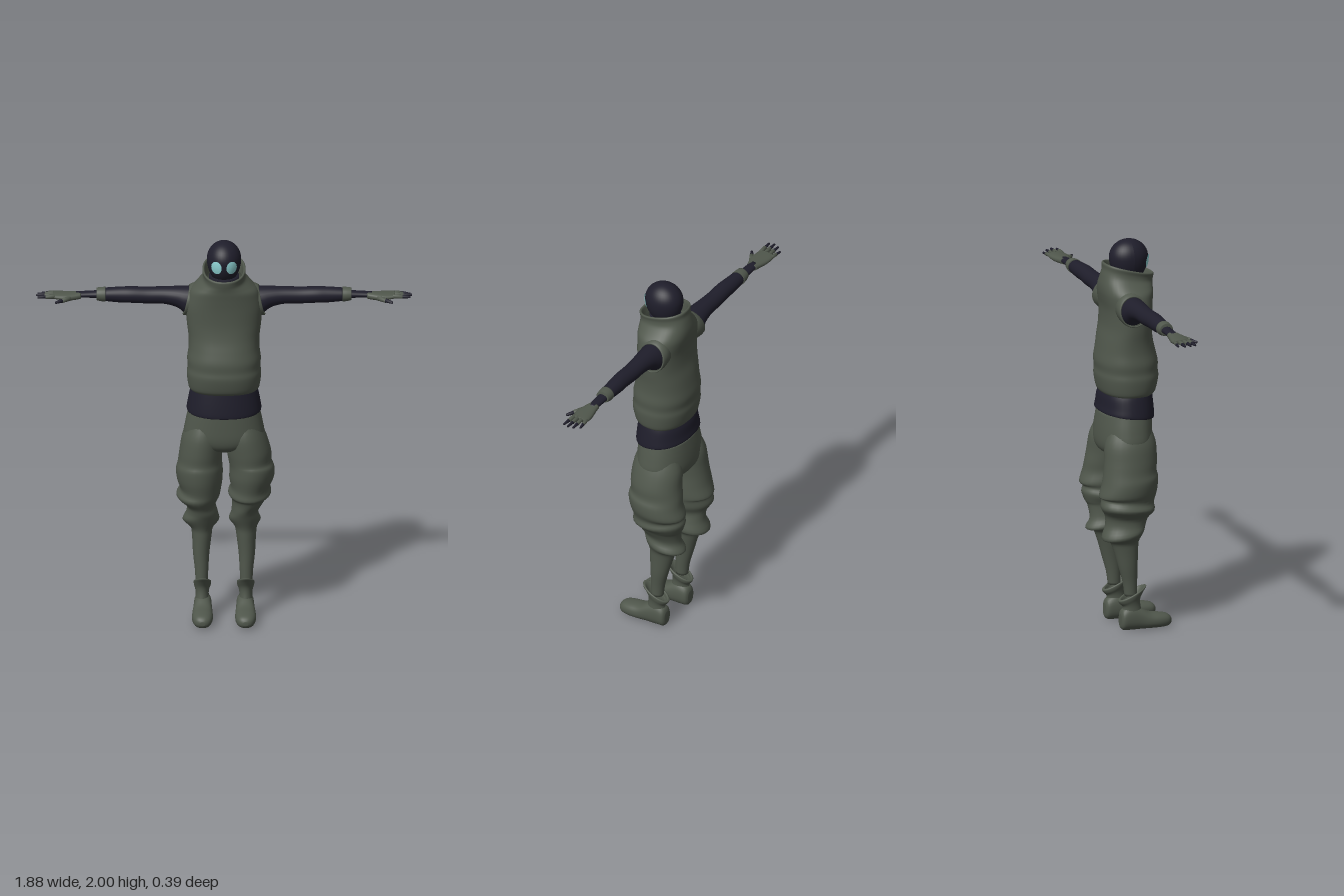
import * as THREE from 'three';

const mat = (name, color, side = THREE.FrontSide) => {
  const m = new THREE.MeshStandardMaterial({ color, side });
  m.name = name;
  return m;
};

// Smooth loft along an axis. Row: [position, cosMin, cosMax, sinMin, sinMax, tilt]
// cos/sin directions: y -> x/z, x -> z/y, z -> y/x. Rows must ascend.
function loft(axis, rows, { n = 28, sub = 4, pow = 1, open = false } = {}) {
  const spline = (a, b, c, d, t) =>
    0.5 * (2 * b + (c - a) * t + (2 * a - 5 * b + 4 * c - d) * t * t + (3 * b - a - 3 * c + d) * t ** 3);
  const rings = [];
  const row = (i) => rows[Math.min(Math.max(i, 0), rows.length - 1)];
  for (let i = 0; i < rows.length - 1; i++)
    for (let s = 0; s < sub; s++)
      rings.push([0, 1, 2, 3, 4, 5].map((k) =>
        spline(row(i - 1)[k] || 0, row(i)[k] || 0, row(i + 1)[k] || 0, row(i + 2)[k] || 0, s / sub)));
  rings.push(row(rows.length - 1));
  if (!open) {
    const tip = ([p, a, b, c, d]) => [p, (a + b) / 2, (a + b) / 2, (c + d) / 2, (c + d) / 2, 0];
    rings.unshift(tip(rings[0]));
    rings.push(tip(rings[rings.length - 1]));
  }
  const pos = [], idx = [];
  const soft = (v) => Math.sign(v) * Math.abs(v) ** pow;
  rings.forEach(([p, a, b, c, d, tilt = 0], j) => {
    for (let i = 0; i < n; i++) {
      const t = (i / n) * Math.PI * 2, cs = soft(Math.cos(t)), sn = soft(Math.sin(t));
      const u = (a + b) / 2 + ((b - a) / 2) * cs, v = (c + d) / 2 + ((d - c) / 2) * sn, w = p + tilt * sn;
      pos.push(...(axis === 'y' ? [u, w, v] : axis === 'x' ? [w, v, u] : [v, u, w]));
      if (j < rings.length - 1) {
        const k = j * n + i, l = j * n + ((i + 1) % n);
        idx.push(k, k + n, l, l, k + n, l + n);
      }
    }
  });
  const g = new THREE.BufferGeometry();
  g.setAttribute('position', new THREE.Float32BufferAttribute(pos, 3));
  g.setIndex(idx);
  g.computeVertexNormals();
  return g;
}

// Reflects a geometry across x = 0 and keeps its faces outward
function mirror(geo) {
  const g = geo.clone().scale(-1, 1, 1), a = g.index.array;
  for (let i = 0; i < a.length; i += 3) [a[i], a[i + 1]] = [a[i + 1], a[i]];
  g.computeVertexNormals();
  return g;
}

export function createModel() {
  const model = new THREE.Group();
  const cloth = mat('greyGreenCloth', 0x50574c);
  const clothOpen = mat('greyGreenClothOpen', 0x50574c, THREE.DoubleSide);
  const dark = mat('darkNavyCloth', 0x1f1e2b);
  const lens = mat('paleTealLens', 0x90d4d6, THREE.DoubleSide);
  const add = (name, geo, m) => {
    const mesh = new THREE.Mesh(geo, m);
    mesh.name = name;
    model.add(mesh);
  };
  const addPair = (name, geo, m) => {
    add('left' + name, geo, m);
    add('right' + name, mirror(geo), m);
  };

  // Hooded head, round above and longer towards the chin, and neck
  const head = new THREE.SphereGeometry(1, 36, 24);
  const hp = head.attributes.position;
  for (let i = 0; i < hp.count; i++) hp.setY(i, hp.getY(i) * (hp.getY(i) > 0 ? 0.092 : 0.125));
  head.scale(0.086, 1, 0.1).translate(0, 1.908, 0.015).computeVertexNormals();
  add('head', head, dark);
  add('neck', loft('y', [[1.72, -0.08, 0.08, -0.09, 0.08], [1.82, -0.075, 0.075, -0.075, 0.09]]), dark);

  // Oval eye lenses laid on the curve of the head
  const eye = new THREE.RingGeometry(0.001, 1, 28, 4);
  const ep = eye.attributes.position;
  for (let i = 0; i < ep.count; i++) {
    const x = 0.038 + ep.getX(i) * 0.026, y = 1.889 + ep.getY(i) * 0.034;
    const d = 1 - (x / 0.086) ** 2 - ((y - 1.908) / (y > 1.908 ? 0.092 : 0.125)) ** 2;
    ep.setXYZ(i, x, y, 0.019 + 0.1 * Math.sqrt(Math.max(d, 0)));
  }
  eye.computeVertexNormals();
  addPair('Eye', eye, lens);

  // Padded vest with a high collar that rises at the back
  add('vest', loft('y', [
    [1.215, -0.165, 0.165, -0.125, 0.12],
    [1.235, -0.178, 0.178, -0.14, 0.138],
    [1.3, -0.186, 0.186, -0.152, 0.153],
    [1.34, -0.182, 0.182, -0.15, 0.15],
    [1.385, -0.184, 0.184, -0.154, 0.15],
    [1.44, -0.177, 0.177, -0.146, 0.137],
    [1.5, -0.178, 0.178, -0.136, 0.122],
    [1.57, -0.186, 0.186, -0.122, 0.114],
    [1.65, -0.19, 0.19, -0.12, 0.116],
    [1.71, -0.18, 0.18, -0.13, 0.122],
    [1.745, -0.167, 0.167, -0.135, 0.127],
    [1.775, -0.138, 0.138, -0.135, 0.13, -0.008],
    [1.805, -0.11, 0.11, -0.128, 0.134, -0.02],
    [1.83, -0.104, 0.104, -0.12, 0.138, -0.028],
    [1.852, -0.108, 0.108, -0.12, 0.14, -0.032],
    [1.852, -0.097, 0.097, -0.109, 0.129, -0.032],
    [1.8, -0.092, 0.092, -0.1, 0.12, -0.02],
  ], { n: 40, pow: 0.88, open: true }), clothOpen);

  // Armholes, slanted out towards the bottom
  addPair('Armhole', loft('x', [
    [0.1, -0.1, 0.045, 1.6, 1.762],
    [0.15, -0.108, 0.048, 1.594, 1.765, -0.01],
    [0.187, -0.106, 0.046, 1.596, 1.752, -0.016],
    [0.188, -0.098, 0.038, 1.604, 1.744, -0.016],
  ], { open: true }), clothOpen);

  // Sleeves, cuffs and wrists
  addPair('Sleeve', loft('x', [
    [0.13, -0.098, 0.04, 1.6, 1.745],
    [0.19, -0.095, 0.036, 1.605, 1.745],
    [0.235, -0.086, 0.026, 1.637, 1.744],
    [0.3, -0.079, 0.016, 1.654, 1.742],
    [0.38, -0.077, 0.012, 1.655, 1.74],
    [0.46, -0.074, 0.012, 1.659, 1.742],
    [0.52, -0.074, 0.008, 1.66, 1.74],
    [0.6, -0.07, 0.002, 1.668, 1.734],
  ]), dark);
  addPair('Cuff', loft('x', [
    [0.592, -0.074, 0.004, 1.664, 1.738], [0.615, -0.073, 0.003, 1.666, 1.737], [0.638, -0.069, 0, 1.672, 1.734],
  ]), cloth);
  addPair('Wrist', loft('x', [
    [0.63, -0.063, -0.008, 1.682, 1.72], [0.68, -0.062, -0.01, 1.684, 1.717], [0.74, -0.06, -0.01, 1.684, 1.714],
  ]), dark);

  // Fingerless gloves
  addPair('Glove', loft('x', [
    [0.715, -0.064, -0.008, 1.68, 1.714],
    [0.745, -0.068, 0.002, 1.676, 1.713],
    [0.79, -0.078, 0.014, 1.674, 1.712],
    [0.83, -0.083, 0.01, 1.68, 1.711],
    [0.855, -0.08, 0.006, 1.686, 1.71],
  ], { pow: 0.85 }), cloth);
  const digit = (name, from, to, r) => {
    const dir = new THREE.Vector3(...to).sub(new THREE.Vector3(...from)), len = dir.length();
    const q = new THREE.Quaternion().setFromUnitVectors(new THREE.Vector3(0, 1, 0), dir.normalize());
    const piece = (s, e, r0, r1) => loft('y', [[s, -r0, r0, -r0, r0], [e, -r1, r1, -r1, r1]], { n: 10, sub: 2 })
      .applyQuaternion(q).translate(...from);
    addPair(name + 'Base', piece(0, len * 0.55, r * 1.1, r), cloth);
    addPair(name + 'Tip', piece(len * 0.5, len, r * 0.9, r * 0.55), dark);
  };
  digit('LittleFinger', [0.84, 1.697, -0.072], [0.908, 1.693, -0.08], 0.009);
  digit('RingFinger', [0.845, 1.699, -0.05], [0.932, 1.697, -0.053], 0.01);
  digit('MiddleFinger', [0.845, 1.7, -0.027], [0.94, 1.7, -0.026], 0.01);
  digit('IndexFinger', [0.845, 1.699, -0.004], [0.932, 1.698, 0.002], 0.01);
  digit('Thumb', [0.77, 1.692, 0], [0.842, 1.684, 0.046], 0.012);

  // Waist sash, dipping at the front
  add('sash', loft('y', [
    [1.108, -0.178, 0.178, -0.138, 0.122, -0.016],
    [1.112, -0.187, 0.187, -0.147, 0.13, -0.016],
    [1.15, -0.182, 0.182, -0.142, 0.128, -0.008],
    [1.2, -0.172, 0.172, -0.137, 0.123],
    [1.228, -0.164, 0.164, -0.128, 0.12],
  ], { n: 36, pow: 0.9 }), dark);

  // Hips of the baggy trousers
  add('hips', loft('y', [
    [0.895, -0.08, 0.08, -0.09, 0.06],
    [0.92, -0.15, 0.15, -0.135, 0.098],
    [0.965, -0.2, 0.2, -0.15, 0.114],
    [1.04, -0.193, 0.193, -0.147, 0.116],
    [1.12, -0.175, 0.175, -0.136, 0.115],
  ], { n: 36, pow: 0.88 }), cloth);

  // Trouser legs with uneven folds: [height, inner, outer, back, front, tilt]
  const shin = [
    [0.18, 0.082, 0.142, -0.05, 0.015],
    [0.25, 0.078, 0.146, -0.06, 0.015],
    [0.33, 0.073, 0.155, -0.082, 0.016],
    [0.42, 0.062, 0.16, -0.108, 0.02],
  ];
  const thighTop = [[0.98, 0.006, 0.205, -0.148, 0.112], [1.07, 0.04, 0.16, -0.11, 0.08]];
  const leftLeg = [...shin,
    [0.47, 0.052, 0.166, -0.13, 0.024],
    [0.505, 0.024, 0.184, -0.172, 0.045, 0.02],
    [0.55, 0.036, 0.171, -0.15, 0.062, 0.015],
    [0.6, 0.04, 0.196, -0.155, 0.075],
    [0.625, 0.036, 0.212, -0.168, 0.085],
    [0.655, 0.02, 0.236, -0.182, 0.1, -0.015],
    [0.69, 0.032, 0.23, -0.175, 0.1, -0.01],
    [0.735, 0.026, 0.25, -0.19, 0.116, 0.015],
    [0.79, 0.028, 0.252, -0.172, 0.118, 0.015],
    [0.83, 0.022, 0.238, -0.165, 0.112],
    [0.89, 0.012, 0.234, -0.156, 0.116],
    ...thighTop,
  ];
  const rightLeg = [...shin,
    [0.465, 0.054, 0.168, -0.128, 0.024],
    [0.5, 0.024, 0.207, -0.17, 0.045, 0.015],
    [0.55, 0.032, 0.188, -0.152, 0.06],
    [0.595, 0.042, 0.19, -0.155, 0.072, -0.01],
    [0.64, 0.022, 0.238, -0.18, 0.098, -0.012],
    [0.68, 0.014, 0.22, -0.174, 0.1, -0.015],
    [0.72, 0.008, 0.234, -0.187, 0.115, 0.012],
    [0.78, 0.006, 0.24, -0.172, 0.119, 0.015],
    [0.83, 0.01, 0.23, -0.162, 0.112],
    [0.89, 0.008, 0.222, -0.156, 0.116],
    ...thighTop,
  ];
  add('leftTrouserLeg', loft('y', leftLeg), cloth);
  add('rightTrouserLeg', loft('y', rightLeg.map(([y, i, o, ...r]) => [y, -o, -i, ...r])), cloth);

  // Soft boots: foot along z, then the ankle with its slanted cuff
  addPair('Boot', loft('z', [
    [-0.072, 0.02, 0.085, 0.085, 0.128],
    [-0.06, 0.004, 0.11, 0.068, 0.145],
    [-0.02, 0, 0.128, 0.062, 0.15],
    [0.03, 0, 0.112, 0.06, 0.153],
    [0.08, 0, 0.085, 0.056, 0.159],
    [0.13, 0, 0.076, 0.056, 0.16],
    [0.17, 0.002, 0.068, 0.064, 0.152],
    [0.19, 0.01, 0.056, 0.078, 0.138],
    [0.199, 0.022, 0.042, 0.095, 0.12],
  ], { pow: 0.88 }), cloth);
  addPair('BootCuff', loft('y', [
    [0.06, 0.068, 0.148, -0.068, 0.05],
    [0.115, 0.076, 0.142, -0.06, 0.034, 0.01],
    [0.145, 0.074, 0.144, -0.06, 0.034, 0.02],
    [0.168, 0.066, 0.15, -0.074, 0.05, 0.03],
    [0.188, 0.064, 0.152, -0.082, 0.066, 0.035],
    [0.19, 0.072, 0.144, -0.07, 0.052, 0.03],
    [0.165, 0.078, 0.14, -0.06, 0.03, 0.02],
  ], { open: true }), clothOpen);

  return model;
}
